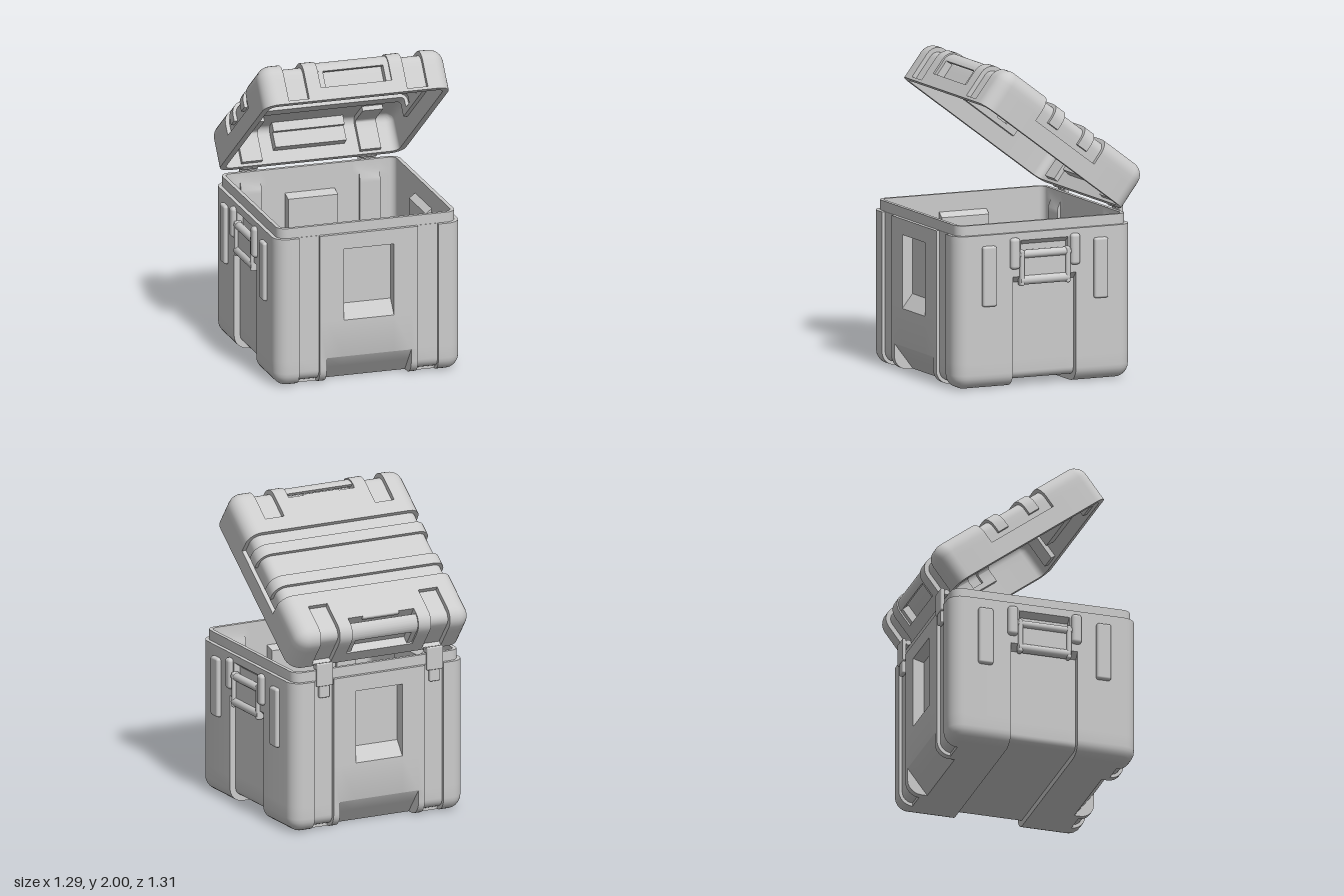
import * as THREE from 'three';
import { toCreasedNormals } from 'three/addons/utils/BufferGeometryUtils.js';
import { RoundedBoxGeometry } from 'three/addons/geometries/RoundedBoxGeometry.js';

const mat = new THREE.MeshStandardMaterial({ color: 0xcccccc });
const FLAT = 0.525; // half length of the straight part of every side
const within = (v, a, b) => Math.abs(v) > a && Math.abs(v) < b;

function add(parent, name, geo, x = 0, y = 0, z = 0) {
  const m = new THREE.Mesh(geo, mat);
  m.name = name;
  m.position.set(x, y, z);
  parent.add(m);
  return m;
}

// Piecewise linear lookup
function ramp(v, pts) {
  if (v <= pts[0][0]) return pts[0][1];
  for (let i = 1; i < pts.length; i++) {
    const [a, p] = pts[i - 1], [b, q] = pts[i];
    if (v <= b) return p + (q - p) * (v - a) / (b - a);
  }
  return pts[pts.length - 1][1];
}

// Skin between rows of points
function skin(rows, closed) {
  const pos = [];
  const tri = (a, b, c) => {
    const n = b.clone().sub(a).cross(c.clone().sub(a));
    if (n.length() > 1e-9) for (const p of [a, b, c]) pos.push(p.x, p.y, p.z);
  };
  for (let i = 0; i + 1 < rows.length; i++) {
    const A = rows[i], B = rows[i + 1], n = A.length;
    for (let j = 0; j < (closed ? n : n - 1); j++) {
      const k = (j + 1) % n;
      tri(A[j], B[j], B[k]);
      tri(A[j], B[k], A[k]);
    }
  }
  const g = new THREE.BufferGeometry();
  g.setAttribute('position', new THREE.Float32BufferAttribute(pos, 3));
  return toCreasedNormals(g, 0.6);
}

const mirrored = (list) => [...list.map((v) => -v), ...list.slice().reverse()];
const SIDE = 0, FRONT = 1;

// Rounded square ring; columns between the cuts are sunk by depth(face, u, y).
// phi turns the ring over the rounded edge, up (s = 1) or down (s = -1).
function ring(H, yc, phi, s, cuts, depth) {
  const R = H - FLAT, out = [];
  for (let k = 0; k < 4; k++) {
    const face = k % 2, c = cuts[face], y = yc + s * R * Math.sin(phi);
    const put = (o, yy, u) => {
      const [x, z] = [[o, u], [-u, o], [-o, -u], [u, -o]][k];
      out.push(new THREE.Vector3(x, yy, z));
    };
    for (let i = 0; i + 1 < c.length; i++) {
      const { d = 0, straight } = depth(face, (c[i] + c[i + 1]) / 2, y);
      const o = straight ? H - d : FLAT + (R - d) * Math.cos(phi);
      const yy = straight ? y : yc + s * (R - d) * Math.sin(phi);
      put(o, yy, c[i]);
      put(o, yy, c[i + 1]);
    }
    for (let i = 1; i < 8; i++) {
      const t = i / 8 * Math.PI / 2, r = R * Math.cos(phi);
      put(FLAT + r * Math.cos(t), y, FLAT + r * Math.sin(t));
    }
  }
  return out;
}
const ARC = [0, 1, 2, 3, 4, 5, 6].map((i) => i / 6 * Math.PI / 2);
const plain = () => ({});

function planShape(points) {
  const p = points.map((v) => new THREE.Vector2(v.x, -v.z));
  return new THREE.Shape(p.filter((v, i) => i === 0 || v.distanceTo(p[i - 1]) > 1e-5));
}

function buildBody() {
  const g = new THREE.Group();
  g.name = 'body';
  const cuts = [mirrored([FLAT, 0.22, 0.165]), mirrored([FLAT, 0.46, 0.325, 0.28, 0.165])];
  const depth = (face, u, y) => {
    const a = Math.abs(u);
    if (face === SIDE) {
      if (a < 0.165) return { d: ramp(y, [[0.9, 0.04], [0.93, 0]]) };
      return { d: a < 0.22 ? ramp(y, [[0.66, 0.04], [0.7, 0]]) : 0 };
    }
    if (within(a, 0.325, 0.46)) return { d: 0.022 };
    if (a < 0.28 && y < 0.17) return { d: 0.13 * (1 - y / 0.17), straight: true };
    if (a < 0.165) return { d: ramp(y, [[0.41, 0], [0.5, 0.07], [0.86, 0.07], [0.88, 0]]) };
    return {};
  };
  const levels = [0.169, 0.171, 0.41, 0.5, 0.66, 0.7, 0.86, 0.88, 0.9, 0.93];
  const bottom = ring(0.615, 0.09, Math.PI / 2, -1, cuts, depth);
  const floor = ring(0.565, 0.09, 0, 1, cuts, depth);
  // Outside, stepped lip and inside in one skin
  add(g, 'shell', skin([
    ...ARC.slice().reverse().map((p) => ring(0.615, 0.09, p, -1, cuts, depth)),
    ...[...levels, 0.98].map((y) => ring(0.615, y, 0, 1, cuts, depth)),
    ring(0.59, 0.98, 0, 1, cuts, plain),
    ring(0.59, 1.045, 0, 1, cuts, plain),
    ring(0.565, 1.045, 0, 1, cuts, plain),
    ring(0.565, 0.98, 0, 1, cuts, plain),
    ...levels.slice().reverse().map((y) => ring(0.565, y, 0, 1, cuts, depth)),
    floor,
  ], true));
  add(g, 'innerFloor', new THREE.ShapeGeometry(planShape(floor)).rotateX(-Math.PI / 2), 0, 0.09);
  // Underside: two foot rails with a channel between them
  const foot = planShape(bottom.filter((p) => p.z > 0.2199));
  const rail = new THREE.ExtrudeGeometry(foot, { depth: 0.05, bevelEnabled: false }).rotateX(-Math.PI / 2);
  add(g, 'frontFootRail', rail);
  add(g, 'backFootRail', rail).rotation.y = Math.PI;
  add(g, 'channelCeiling', new THREE.BoxGeometry(1.05, 0.02, 0.46), 0, 0.05);

  for (const s of [-1, 1]) {
    // Carrying handle and its mounts
    const h = new THREE.Group();
    h.name = s > 0 ? 'leftHandle' : 'rightHandle';
    g.add(h);
    const bar = (r, len) => new THREE.CylinderGeometry(r, r, len, 20).rotateX(Math.PI / 2);
    add(h, 'grip', bar(0.03, 0.34), s * 0.607, 0.675);
    add(h, 'pin', bar(0.026, 0.36), s * 0.607, 0.84);
    add(h, 'handlePlate', new RoundedBoxGeometry(0.02, 0.19, 0.3, 2, 0.008), s * 0.605, 0.77);
    for (const t of [-1, 1]) {
      add(h, 'arm', new RoundedBoxGeometry(0.05, 0.23, 0.03, 3, 0.012), s * 0.61, 0.755, t * 0.16);
      add(h, 'bracket', new RoundedBoxGeometry(0.07, 0.2, 0.065, 3, 0.022), s * 0.61, 0.85, t * 0.21);
      add(g, 'sidePad', new RoundedBoxGeometry(0.06, 0.385, 0.095, 3, 0.015), s * 0.612, 0.718, t * 0.389);
    }
    // Hinges in the back grooves
    const hinge = new THREE.Group();
    hinge.name = 'hinge';
    hinge.position.set(s * 0.393, 0, -0.605);
    g.add(hinge);
    add(hinge, 'hingePlate', new RoundedBoxGeometry(0.115, 0.15, 0.025, 2, 0.008), 0, 1.022, -0.012);
    add(hinge, 'hingeHook', new RoundedBoxGeometry(0.07, 0.1, 0.03, 2, 0.008), 0, 0.92, -0.004);
    add(hinge, 'hingeKnuckle', new THREE.CylinderGeometry(0.018, 0.018, 0.11, 16).rotateZ(Math.PI / 2), 0, 1.072, 0.015);
  }
  return g;
}

function buildLid() {
  const g = new THREE.Group();
  g.name = 'lid';
  const h = 0.283, yc = h - 0.09;
  const cuts = [mirrored([FLAT, 0.255, 0.167, 0.087]), mirrored([FLAT, 0.46, 0.325, 0.235])];
  const band = (z) => (within(z, 0.087, 0.167) ? 0.005 : 0.027);
  const depth = (face, u, y) => {
    const a = Math.abs(u);
    if (face === SIDE) {
      if (a > 0.255 || y < 0.115) return {};
      return { d: y < 0.15 ? 0.027 : band(u) };
    }
    if (within(a, 0.325, 0.46)) return { d: y > 0.02 ? 0.03 : 0 };
    return { d: a < 0.235 && y > 0.085 ? 0.06 : 0 };
  };
  const top = (x, z) => {
    if (Math.abs(z) < 0.255) return band(z);
    if (within(x, 0.325, 0.46) && Math.abs(z) > 0.355) return 0.03;
    return Math.abs(x) < 0.235 && Math.abs(z) > 0.49 ? 0.06 : 0;
  };
  const levels = [0, 0.019, 0.021, 0.084, 0.086, 0.114, 0.116, 0.149, 0.151];
  const wall = (H) => [
    ...levels.map((y) => ring(H, y, 0, 1, cuts, depth)),
    ...ARC.map((p) => ring(H, yc, p, 1, cuts, depth)),
  ];
  add(g, 'lidWall', skin([...wall(0.575).reverse(), ...wall(0.615)], true));

  // Ribbed top, outside and inside
  const zc = mirrored([FLAT, 0.49, 0.355, 0.255, 0.167, 0.087]), xc = cuts[FRONT];
  const panel = (height) => {
    const rows = [];
    for (let i = 0; i + 1 < zc.length; i++) {
      for (const z of [zc[i], zc[i + 1]]) {
        const row = [];
        for (let j = 0; j + 1 < xc.length; j++) {
          const d = top((xc[j] + xc[j + 1]) / 2, (zc[i] + zc[i + 1]) / 2);
          for (const x of [xc[j], xc[j + 1]]) row.push(new THREE.Vector3(x, height - d, z));
        }
        rows.push(row);
      }
    }
    return rows;
  };
  add(g, 'lidTop', skin(panel(h), false));
  add(g, 'lidCeiling', skin(panel(h - 0.04).reverse(), false));

  // Curved grips wrapped over the front and back edges
  const arc = new THREE.Shape();
  arc.absarc(0, 0, 0.08, 0, Math.PI / 2, false);
  arc.absarc(0, 0, 0.055, Math.PI / 2, 0, true);
  const grip = toCreasedNormals(new THREE.ExtrudeGeometry(arc, { depth: 0.47, bevelEnabled: false, curveSegments: 10 })
    .translate(0, 0, -0.235).rotateY(-Math.PI / 2), 0.6);
  for (const s of [-1, 1]) {
    const handle = new THREE.Group();
    handle.name = s > 0 ? 'frontLidGrip' : 'backLidGrip';
    handle.rotation.y = s > 0 ? 0 : Math.PI;
    g.add(handle);
    add(handle, 'gripCover', grip, 0, yc, FLAT);
    for (const t of [-1, 1]) {
      add(handle, 'gripEnd', new THREE.BoxGeometry(0.035, 0.11, 0.055), t * 0.217, 0.14, 0.577);
    }
    add(handle, 'gripLip', new RoundedBoxGeometry(0.26, 0.03, 0.03, 2, 0.01), 0, h - 0.015, 0.488);
  }
  return g;
}

export function createModel() {
  const model = new THREE.Group();
  model.name = 'storageCase';
  const body = buildBody();
  body.position.z = 0.045;
  model.add(body);
  // Lid swung open about its back edge
  const pivot = new THREE.Group();
  pivot.name = 'lidPivot';
  pivot.position.set(0, 1.07, -0.52);
  pivot.rotation.x = -0.647;
  const lid = buildLid();
  lid.position.z = 0.615;
  pivot.add(lid);
  model.add(pivot);
  return model;
}
